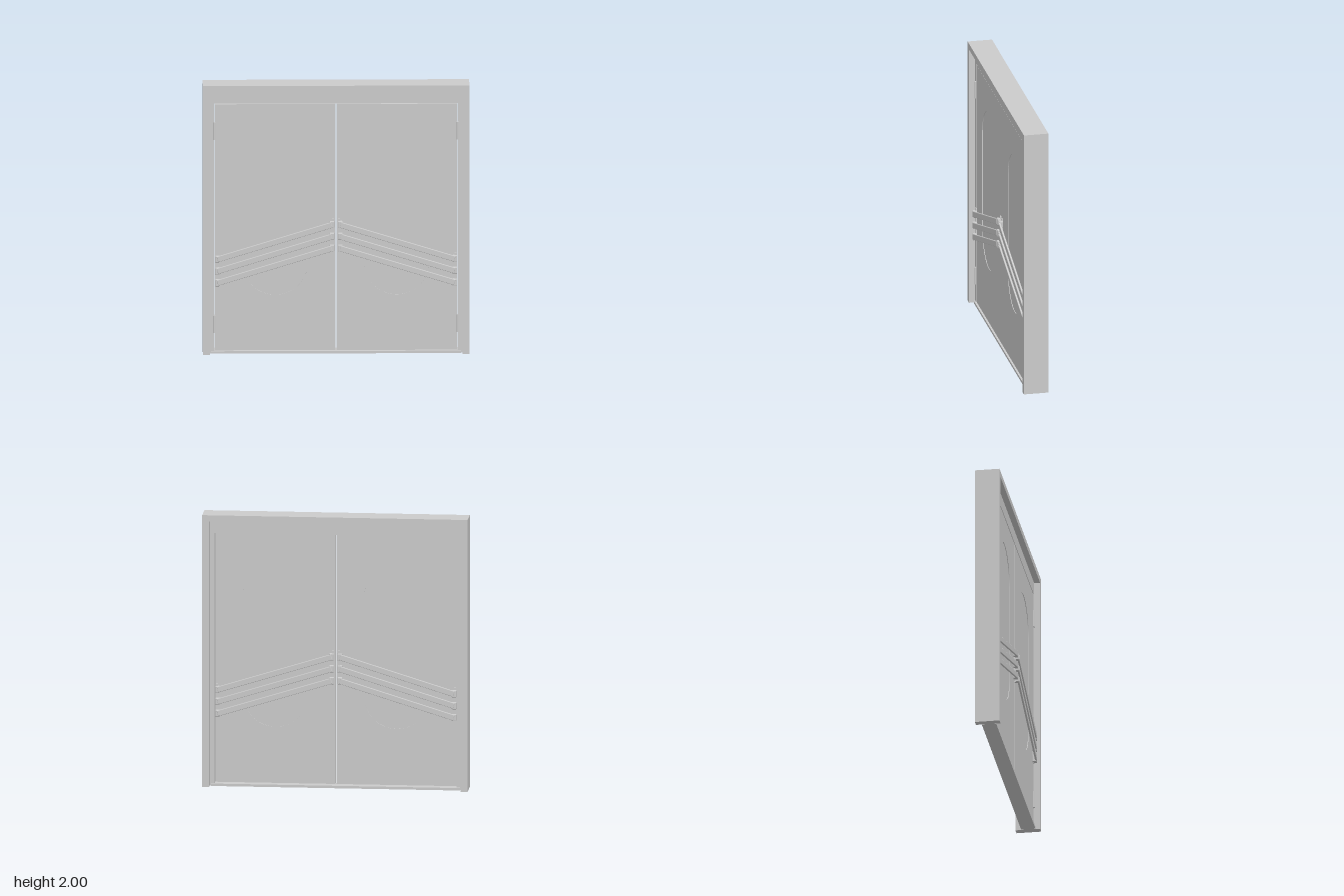
import * as THREE from 'three';
import { RoundedBoxGeometry } from 'three/addons/geometries/RoundedBoxGeometry.js';

const material = new THREE.MeshStandardMaterial({ color: 0xcccccc });

function add(parent, name, geometry, x = 0, y = 0, z = 0) {
  const mesh = new THREE.Mesh(geometry, material);
  mesh.name = name;
  mesh.position.set(x, y, z);
  parent.add(mesh);
  return mesh;
}

// Upside-down U outline, open at the floor, extruded from z0 to z1
function portal(outerX, outerY, innerX, innerY, z0, z1) {
  const shape = new THREE.Shape([
    [-outerX, 0], [-innerX, 0], [-innerX, innerY], [innerX, innerY],
    [innerX, 0], [outerX, 0], [outerX, outerY], [-outerX, outerY],
  ].map(([x, y]) => new THREE.Vector2(x, y)));
  const geometry = new THREE.ExtrudeGeometry(shape, { depth: z1 - z0, bevelEnabled: false });
  return geometry.translate(0, 0, z0);
}

// Upright slot outline with round ends
function slot(path, cx, y0, y1, r) {
  path.moveTo(cx + r, y0 + r);
  path.lineTo(cx + r, y1 - r);
  path.absarc(cx, y1 - r, r, 0, Math.PI, false);
  path.lineTo(cx - r, y0 + r);
  path.absarc(cx, y0 + r, r, Math.PI, Math.PI * 2, false);
  return path;
}

const DOOR_BACK = 0, DOOR_FRONT = 0.045;

// Three sloping push bars held between two end brackets
function pushBars(side, faceZ, out) {
  const group = new THREE.Group();
  group.name = 'pushBars';
  const inner = { x: 0.03, y: 0.96 }, outer = { x: 0.855, y: 0.705 };
  const length = Math.hypot(outer.x - inner.x, outer.y - inner.y);
  const angle = Math.atan2(outer.y - inner.y, outer.x - inner.x);
  for (let i = 0; i < 3; i++) {
    const drop = i * 0.0875;
    const bar = add(group, 'bar', new RoundedBoxGeometry(length, 0.042, 0.014, 2, 0.004),
      side * (inner.x + outer.x) / 2, (inner.y + outer.y) / 2 - drop, faceZ + out * 0.026);
    bar.rotation.z = side * angle;
    for (const end of [inner, outer]) {
      add(group, 'barMount', new RoundedBoxGeometry(0.034, 0.05, 0.03, 2, 0.005),
        side * end.x, end.y - drop, faceZ + out * 0.015);
    }
  }
  for (const [x, y] of [[0.022, 0.88], [0.861, 0.625]]) {
    add(group, 'bracketPlate', new THREE.BoxGeometry(0.016, 0.245, 0.01), side * x, y, faceZ + out * 0.005);
  }
  return group;
}

function doorLeaf(side) {
  const leaf = new THREE.Group();
  leaf.name = side > 0 ? 'leftDoor' : 'rightDoor';

  // Slab with a long round-ended window opening
  const a = 0.004 * side, b = 0.871 * side;
  const slab = new THREE.Shape([
    new THREE.Vector2(a, 0.022), new THREE.Vector2(b, 0.022),
    new THREE.Vector2(b, 1.853), new THREE.Vector2(a, 1.853),
  ]);
  slab.holes.push(slot(new THREE.Path(), side * 0.4375, 0.435, 1.64, 0.2325));
  add(leaf, 'doorSlab', new THREE.ExtrudeGeometry(slab, {
    depth: DOOR_FRONT - DOOR_BACK, bevelEnabled: false, curveSegments: 32,
  }), 0, 0, DOOR_BACK);

  // Pane set just below both faces
  const pane = slot(new THREE.Shape(), side * 0.4375, 0.435, 1.64, 0.2325);
  add(leaf, 'windowPane', new THREE.ExtrudeGeometry(pane, {
    depth: DOOR_FRONT - DOOR_BACK - 0.008, bevelEnabled: false, curveSegments: 32,
  }), 0, 0, DOOR_BACK + 0.004);

  leaf.add(pushBars(side, DOOR_FRONT, 1), pushBars(side, DOOR_BACK, -1));

  // Hinge knuckles on the front
  for (const y of [0.22, 1.655]) {
    add(leaf, 'hinge', new THREE.CylinderGeometry(0.01, 0.01, 0.13, 16), side * 0.877, y, DOOR_FRONT + 0.003);
  }
  return leaf;
}

export function createModel() {
  const model = new THREE.Group();
  model.name = 'doubleDoor';

  // Outer casing and the recessed lining inside it
  add(model, 'outerFrame', portal(0.96, 2, 0.91, 1.955, -0.09, 0.09));
  add(model, 'innerFrame', portal(0.911, 1.956, 0.875, 1.858, -0.03, 0.047));

  // Low threshold under the leaves
  add(model, 'threshold', new THREE.BoxGeometry(1.8, 0.018, 0.105), 0, 0.009, 0.005);

  for (const side of [-1, 1]) model.add(doorLeaf(side));
  return model;
}
